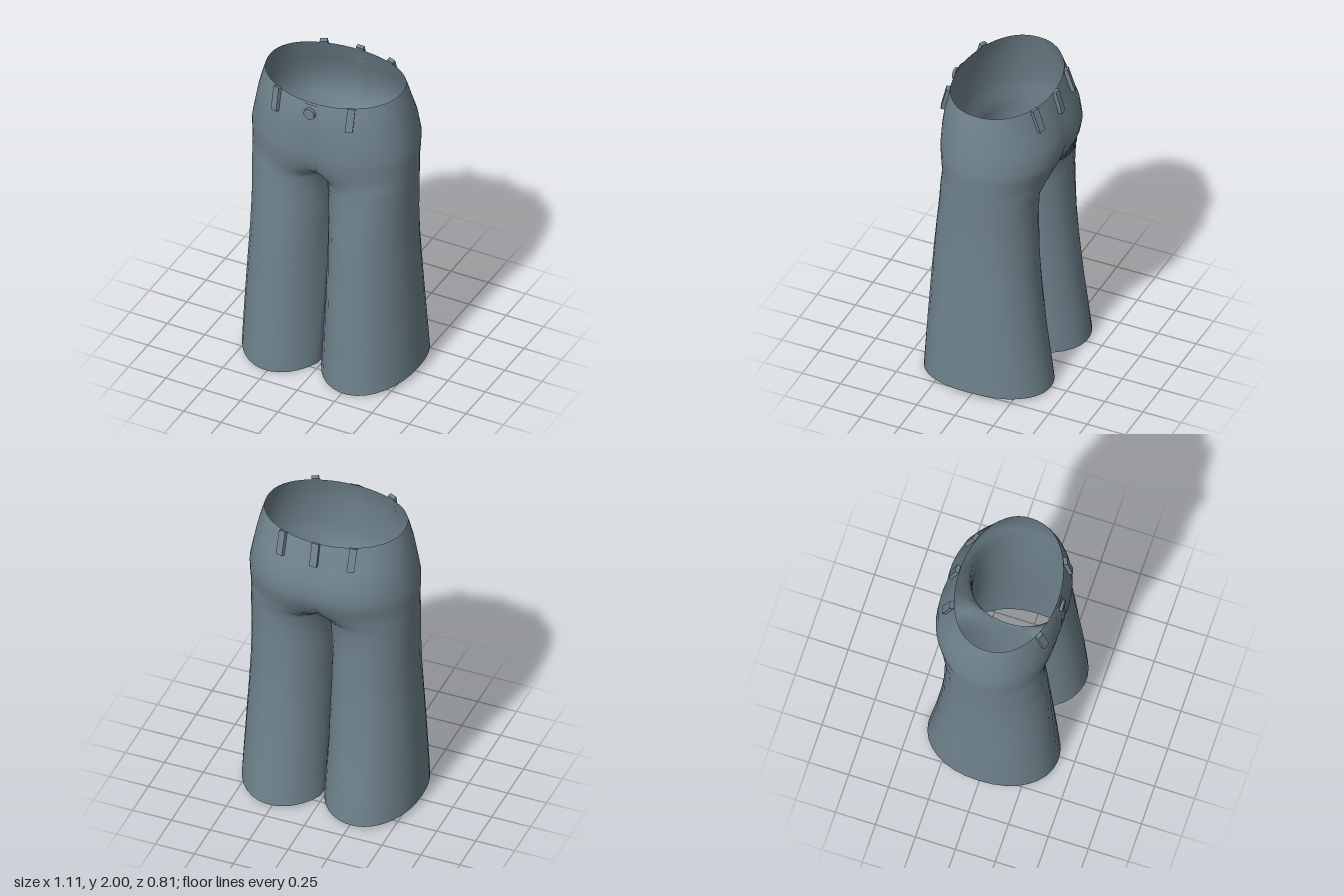
import * as THREE from 'three';
import { mergeVertices, mergeGeometries } from 'three/addons/utils/BufferGeometryUtils.js';

// Cross-sections of one half: height, outer x, lobe centre x, front z, back z, inner x
const ROWS = [
  [0.00, 0.557, 0.265, 0.405, 0.405, 0.012],
  [0.20, 0.550, 0.265, 0.393, 0.380, 0.012],
  [0.40, 0.540, 0.265, 0.380, 0.352, 0.011],
  [0.70, 0.524, 0.262, 0.358, 0.321, 0.010],
  [0.90, 0.514, 0.260, 0.343, 0.306, 0.008],
  [1.10, 0.510, 0.258, 0.325, 0.300, 0.006],
  [1.25, 0.513, 0.256, 0.308, 0.298, 0.004],
  [1.36, 0.515, 0.250, 0.302, 0.304, 0],
  [1.41, 0.516, 0.220, 0.303, 0.320, 0],
  [1.45, 0.517, 0.175, 0.310, 0.333, 0],
  [1.50, 0.518, 0.130, 0.325, 0.352, 0],
  [1.56, 0.520, 0.110, 0.336, 0.378, 0],
  [1.63, 0.520, 0.100, 0.342, 0.394, 0],
  [1.74, 0.500, 0.080, 0.341, 0.386, 0],
  [1.84, 0.482, 0.045, 0.337, 0.346, 0],
  [1.92, 0.463, 0.015, 0.328, 0.324, 0],
  [2.00, 0.440, 0.000, 0.312, 0.300, 0],
];
const CROTCH = 7; // row where the legs join
const ARC = 28, INNER = 10;

// Section at any height
function section(y) {
  let i = 0;
  while (i < ROWS.length - 2 && ROWS[i + 1][0] < y) i++;
  const k = (y - ROWS[i][0]) / (ROWS[i + 1][0] - ROWS[i][0]);
  return ROWS[i].map((v, n) => THREE.MathUtils.lerp(v, ROWS[i + 1][n], k));
}

// Point on the outer arc; u runs 0 (front centre) to 1 (back centre)
function arcPoint([y, xo, cx, zf, zb, x0], u) {
  const rx = xo - cx;
  const a = Math.asin((cx - x0) / rx);
  const t = -a + u * (Math.PI + 2 * a);
  const c = Math.cos(t);
  const z = Math.sign(c) * Math.pow(Math.abs(c), 0.92) * (c > 0 ? zf : zb);
  return new THREE.Vector3(cx + rx * Math.sin(t), y, z);
}

// Surface point on the front or back at a given x
function surfaceAt(x, y, front) {
  const [, xo, cx, zf, zb] = section(y);
  const s = (Math.abs(x) - cx) / (xo - cx);
  const d = Math.pow(Math.sqrt(1 - s * s), 0.92);
  return new THREE.Vector3(x, y, front ? d * zf : -d * zb);
}

// Curved hem and a gentle dip at the waist
function trimEdges(p, row) {
  if (row[0] === 0) {
    const s = (p.x - row[2]) / (row[1] - row[2]);
    p.y += (s > 0 ? 0.038 : 0.02) * s * s + (p.z < 0 ? 0.012 * Math.min(1, -p.z / 0.3) * (1 - s * s) : 0);
  } else if (row[0] === 2) {
    p.y -= 0.018 * Math.pow(p.z / 0.31, 2);
  }
  return p;
}

// Skin a grid of points, rows bottom to top
function skin(grid, mirror = 1) {
  const w = grid[0].length, pos = [], index = [];
  grid.forEach(r => r.forEach(p => pos.push(p.x * mirror, p.y, p.z)));
  for (let i = 0; i < grid.length - 1; i++) for (let j = 0; j < w - 1; j++) {
    const a = i * w + j, b = a + 1, c = a + w, d = c + 1;
    if (mirror > 0) index.push(a, b, c, b, d, c);
    else index.push(a, c, b, b, c, d);
  }
  const g = new THREE.BufferGeometry();
  g.setAttribute('position', new THREE.Float32BufferAttribute(pos, 3));
  g.setIndex(index);
  return g;
}

export function createModel() {
  const group = new THREE.Group();
  const cloth = new THREE.MeshStandardMaterial({ color: 0x6f828c, side: THREE.DoubleSide });
  const add = (name, geometry) => {
    const m = new THREE.Mesh(geometry, cloth);
    m.name = name;
    group.add(m);
    return m;
  };

  // Outer panels from hem to waist
  const outer = ROWS.map(r => Array.from({ length: ARC + 1 }, (_, j) => trimEdges(arcPoint(r, j / ARC), r)));
  // Inner leg panels, ending in a sagging crotch seam
  const inner = ROWS.slice(0, CROTCH + 1).map((r, i) => Array.from({ length: INNER + 1 }, (_, j) => {
    const k = j / INNER;
    const p = arcPoint(r, 1).lerp(arcPoint(r, 0), k);
    if (i === CROTCH) p.y -= 0.04 * Math.sin(Math.PI * k);
    return trimEdges(p, r);
  }));
  const parts = [1, -1].flatMap(m => [skin(outer, m), skin(inner, m)]);
  const body = mergeVertices(mergeGeometries(parts), 1e-4);
  body.computeVertexNormals();
  add('trousers', body);

  // Fly flap, tapering in a curve towards the crotch
  const fly = [];
  for (let i = 0; i <= 12; i++) {
    const y = 1.47 + 0.505 * i / 12;
    const k = Math.min(1, (y - 1.47) / 0.14);
    const half = 0.012 + 0.043 * Math.sqrt(1 - (1 - k) ** 2);
    const row = [];
    for (let j = 0; j <= 6; j++) {
      const p = surfaceAt(half * (1 - j / 3), y, true);
      p.z += (j === 0 || j === 6) ? 0 : 0.007;
      row.push(p);
    }
    fly.push(row.reverse());
  }
  const flyGeometry = skin(fly);
  flyGeometry.computeVertexNormals();
  add('flyFlap', flyGeometry);

  // Waist button
  const button = add('waistButton', new THREE.CylinderGeometry(0.036, 0.038, 0.018, 16));
  button.rotation.x = Math.PI / 2;
  button.position.set(0, 1.92, 0.342);

  // Belt loops, two in front and three behind
  const loops = [[0.243, true], [-0.243, true], [0.222, false], [0, false], [-0.222, false]];
  for (const [x, front] of loops) {
    const low = surfaceAt(x, 1.85, front), high = surfaceAt(x, 1.99, front);
    const side = surfaceAt(x + 0.02, 1.92, front).sub(surfaceAt(x - 0.02, 1.92, front)).normalize();
    if (!front) side.negate();
    const up = high.clone().sub(low).normalize();
    const out = side.clone().cross(up).normalize();
    const loop = add('beltLoop', new THREE.BoxGeometry(0.046, 0.15, 0.024));
    loop.quaternion.setFromRotationMatrix(
      new THREE.Matrix4().makeBasis(up.clone().cross(out), up, out));
    loop.position.copy(low).add(high).multiplyScalar(0.5).addScaledVector(out, 0.012);
  }
  return group;
}
